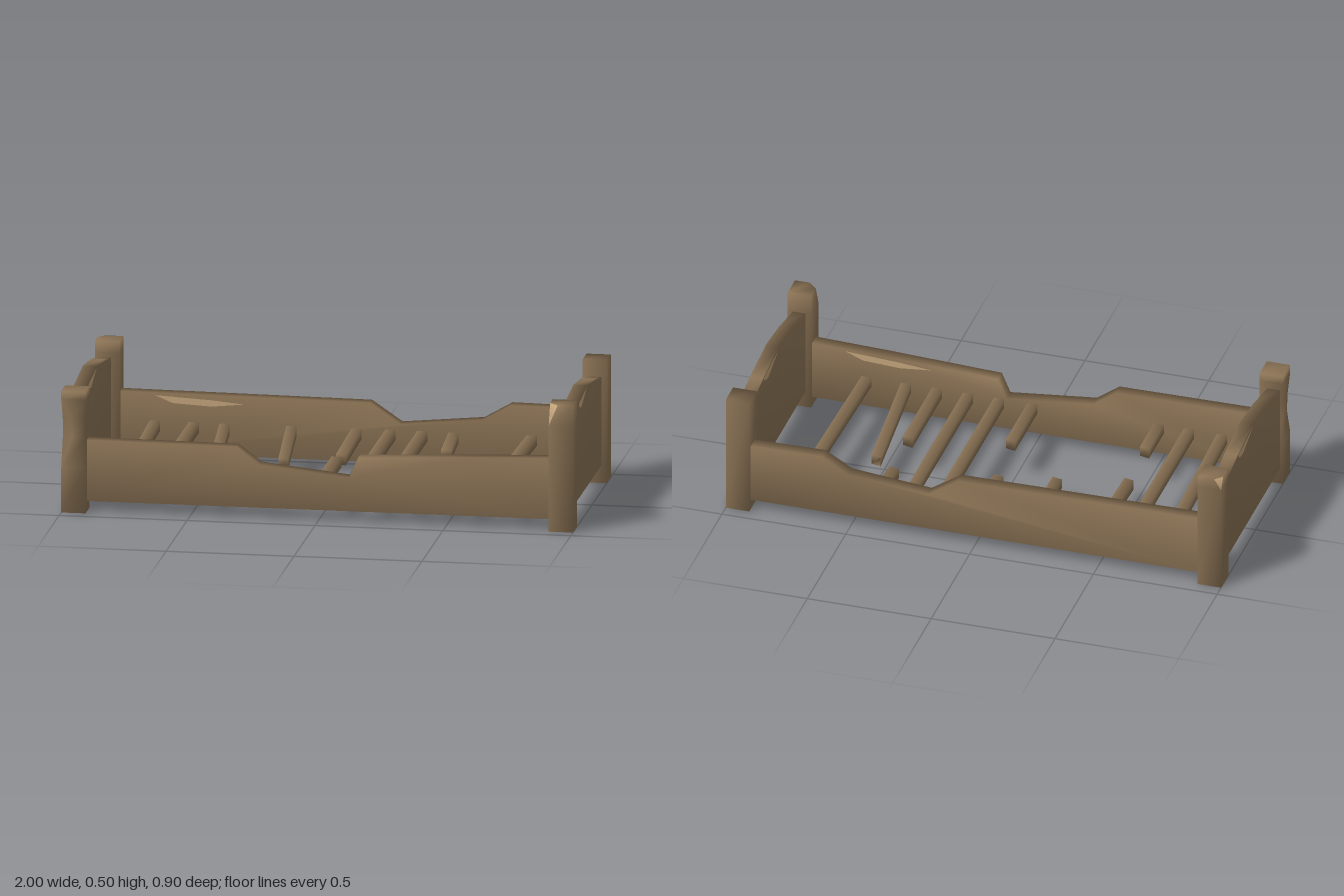
import * as THREE from 'three';
import { mergeVertices } from 'three/addons/utils/BufferGeometryUtils.js';

const wood = new THREE.MeshStandardMaterial({ color: 0x8b7355 });
wood.name = 'weathered wood';
const fresh = new THREE.MeshStandardMaterial({ color: 0xc4a57c, side: THREE.DoubleSide });
fresh.name = 'splintered wood';

// Share corner vertices so the shading rolls softly over the edges
function soften(geometry) {
  geometry.deleteAttribute('normal');
  geometry.deleteAttribute('uv');
  const merged = mergeVertices(geometry, 1e-4);
  merged.computeVertexNormals();
  return merged;
}

function outline(points) {
  return new THREE.Shape(points.map(([x, y]) => new THREE.Vector2(x, y)));
}

// Plank cut from an outline, centred on its thickness
function plank(name, points, depth) {
  const geometry = new THREE.ExtrudeGeometry(outline(points), { depth, bevelEnabled: false });
  geometry.translate(0, 0, -depth / 2);
  const mesh = new THREE.Mesh(soften(geometry), wood);
  mesh.name = name;
  return mesh;
}

function chip(name, points, z) {
  const mesh = new THREE.Mesh(new THREE.ShapeGeometry(outline(points)), fresh);
  mesh.name = name;
  mesh.position.z = z;
  return mesh;
}

// Square post; one corner is planed off by [height, amount] steps
const CORNERS = [[1, -1], [-1, -1], [-1, 1], [1, 1]];
function post(name, x, z, height, corner = -1, cuts = [], pale = false) {
  const h = 0.0475;
  const rings = [[0, 0], ...cuts];
  if (!cuts.length || cuts[cuts.length - 1][0] < height) rings.push([height, 0]);
  const positions = [], side = [], cutFaces = [];
  for (const [y, c] of rings) {
    CORNERS.forEach(([sx, sz], k) => {
      const a = k === corner ? c : 0;
      const pair = [[sx * (h - a), y, sz * h], [sx * h, y, sz * (h - a)]];
      if (sx * sz < 0) pair.reverse();
      positions.push(...pair[0], ...pair[1]);
    });
  }
  const top = (rings.length - 1) * 8;
  for (let i = 0; i < rings.length - 1; i++) {
    for (let j = 0; j < 8; j++) {
      const a = i * 8 + j, b = i * 8 + (j + 1) % 8;
      const isCut = pale && j === corner * 2;
      (isCut ? cutFaces : side).push(a, b, b + 8, a, b + 8, a + 8);
    }
  }
  for (let j = 1; j < 7; j++) side.push(0, j + 1, j, top, top + j, top + j + 1);
  const geometry = new THREE.BufferGeometry();
  geometry.setAttribute('position', new THREE.Float32BufferAttribute(positions, 3));
  geometry.setIndex([...side, ...cutFaces]);
  geometry.addGroup(0, side.length, 0);
  if (cutFaces.length) geometry.addGroup(side.length, cutFaces.length, 1);
  const mesh = new THREE.Mesh(soften(geometry), [wood, fresh]);
  mesh.name = name;
  mesh.position.set(x, 0, z);
  return mesh;
}

// Slat between two points, with a skewed broken end
function slat(x0, z0, y0, x1, z1, y1) {
  const geometry = new THREE.BoxGeometry(0.04, 0.04, 1);
  const p = geometry.attributes.position;
  for (let i = 0; i < p.count; i++) {
    const far = p.getZ(i) > 0;
    const px = p.getX(i);
    const broken = far ? z1 < 0.3 : z0 > -0.3;
    const skew = broken ? px * 0.25 : 0;
    p.setXYZ(i, px + (far ? x1 : x0), p.getY(i) + (far ? y1 : y0), (far ? z1 : z0) + skew);
  }
  const mesh = new THREE.Mesh(soften(geometry), wood);
  mesh.name = 'slat';
  return mesh;
}

export function createModel() {
  const bed = new THREE.Group();
  bed.name = 'brokenBed';

  // Corner posts
  const px = 0.9525, pz = 0.4025;
  bed.add(
    post('footPostFront', px, pz, 0.503, 2, [[0.42, 0], [0.503, 0.035]], true),
    post('footPostBack', px, -pz, 0.488),
    post('headPostFront', -px, pz, 0.482, 2, [[0.18, 0], [0.3, 0.042], [0.37, 0.036], [0.45, 0]]),
    post('headPostBack', -px, -pz, 0.485, 1, [[0.44, 0], [0.485, 0.028]], true),
  );

  // Side rails with a broken bite out of the top edge
  const front = new THREE.Group();
  front.name = 'frontRail';
  front.position.z = 0.393;
  front.add(plank('frontRailPlank', [[-0.91, 0.042], [0.91, 0.042], [0.91, 0.284], [0.62, 0.275],
    [0.155, 0.256], [0.12, 0.175], [-0.23, 0.213], [-0.32, 0.28], [-0.91, 0.284]], 0.052));
  front.add(chip('frontRailChip', [[0.77, 0.274], [0.7, 0.245], [0.55, 0.237], [0.42, 0.25], [0.55, 0.262]], -0.029));
  const back = new THREE.Group();
  back.name = 'backRail';
  back.position.z = -0.405;
  back.add(plank('backRailPlank', [[-0.91, 0.042], [0.91, 0.042], [0.91, 0.284], [0.62, 0.288],
    [0.51, 0.225], [0.19, 0.195], [0.07, 0.276], [-0.91, 0.284]], 0.052));
  back.add(chip('backRailChip', [[-0.77, 0.274], [-0.7, 0.245], [-0.55, 0.237], [-0.42, 0.25], [-0.55, 0.262]], 0.029));
  bed.add(front, back);

  // Peaked end boards, chipped on both faces
  const boardOutline = [[-0.36, 0.07], [0.36, 0.07], [0.36, 0.42], [0.2, 0.452], [0, 0.473], [-0.2, 0.452], [-0.36, 0.42]];
  const chipOutline = [[-0.2, 0.45], [-0.185, 0.432], [-0.14, 0.422], [-0.005, 0.47]];
  for (const [name, x] of [['headboard', -0.963], ['footboard', 0.953]]) {
    const board = new THREE.Group();
    board.name = name;
    board.add(plank(name + 'Plank', boardOutline, 0.052));
    for (const turn of [0, Math.PI]) {
      const side = new THREE.Group();
      side.name = name + 'Face';
      side.rotation.y = turn;
      side.add(chip(name + 'Chip', chipOutline, 0.029));
      board.add(side);
    }
    board.rotation.y = Math.PI / 2;
    board.position.x = x;
    bed.add(board);
  }

  // Slats: whole ones, sagging broken ones and stubs
  const zb = -0.385, zf = 0.375, y = 0.152;
  const slats = new THREE.Group();
  slats.name = 'slats';
  for (const [a, b] of [[-0.77, -0.75], [-0.617, -0.617], [0.15, 0.15], [0.275, 0.275], [0.703, 0.685]]) {
    slats.add(slat(a, zb, y, b, zf, y));
  }
  for (const [a, b, end] of [[-0.498, -0.475, 0.045], [-0.237, -0.215, 0.048 - 0.1], [0.018, 0, -0.115], [0.397, 0.397, -0.2]]) {
    slats.add(slat(a, zb, y, b, end, y - 0.15 * (end - zb)));
  }
  for (const [a, b, start, rise] of [[-0.495, -0.495, 0.18, 0], [0.015, 0.015, 0.08, 0], [0.4, 0.4, -0.015, 0], [0.5, 0.527, -0.105, -0.05]]) {
    slats.add(slat(a, start, y + rise, b, zf, y));
  }
  bed.add(slats);
  return bed;
}
